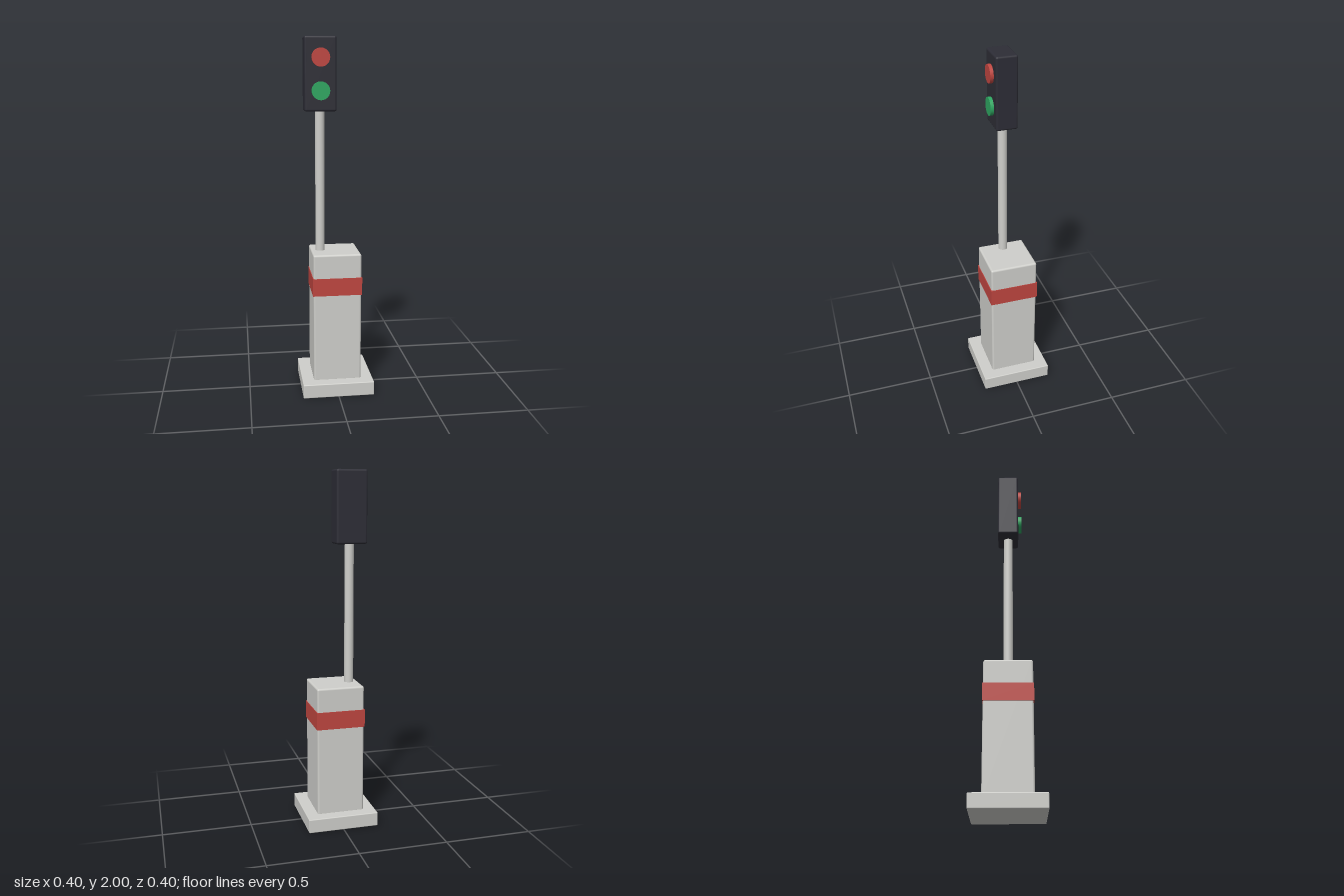
import * as THREE from 'three';
import { RoundedBoxGeometry } from 'three/addons/geometries/RoundedBoxGeometry.js';

const material = (name, color) => {
  const m = new THREE.MeshStandardMaterial({ color });
  m.name = name;
  return m;
};

export function createModel() {
  const concrete = material('pale concrete grey', 0xcfcfcb);
  const red = material('signal red', 0xbf4640);
  const green = material('signal green', 0x2ea761);
  const dark = material('dark housing', 0x2d2d36);

  const model = new THREE.Group();
  model.name = 'signalPost';

  const add = (name, geometry, mat, x, y, z = 0) => {
    const mesh = new THREE.Mesh(geometry, mat);
    mesh.name = name;
    mesh.position.set(x, y, z);
    model.add(mesh);
    return mesh;
  };

  const poleX = -0.083;

  // Square foot, pillar and painted band
  add('base', new RoundedBoxGeometry(0.404, 0.08, 0.404, 3, 0.005), concrete, 0, 0.04);
  add('pillar', new RoundedBoxGeometry(0.27, 0.745, 0.27, 3, 0.011), concrete, 0, 0.4425);
  add('band', new THREE.BoxGeometry(0.277, 0.1, 0.277), red, 0, 0.63);

  // Pole standing off-centre on the pillar
  add('pole', new THREE.CylinderGeometry(0.026, 0.026, 0.82, 24), concrete, poleX, 1.21);

  // Signal housing
  add('signalHousing', new RoundedBoxGeometry(0.175, 0.4, 0.119, 3, 0.011), dark, poleX, 1.8);

  // Round lamps facing forward
  for (const [name, y, mat] of [['redLamp', 1.888, red], ['greenLamp', 1.711, green]]) {
    const lamp = add(name, new THREE.CylinderGeometry(0.05, 0.05, 0.03, 24), mat, poleX, y, 0.063);
    lamp.rotation.x = Math.PI / 2;
  }

  return model;
}
